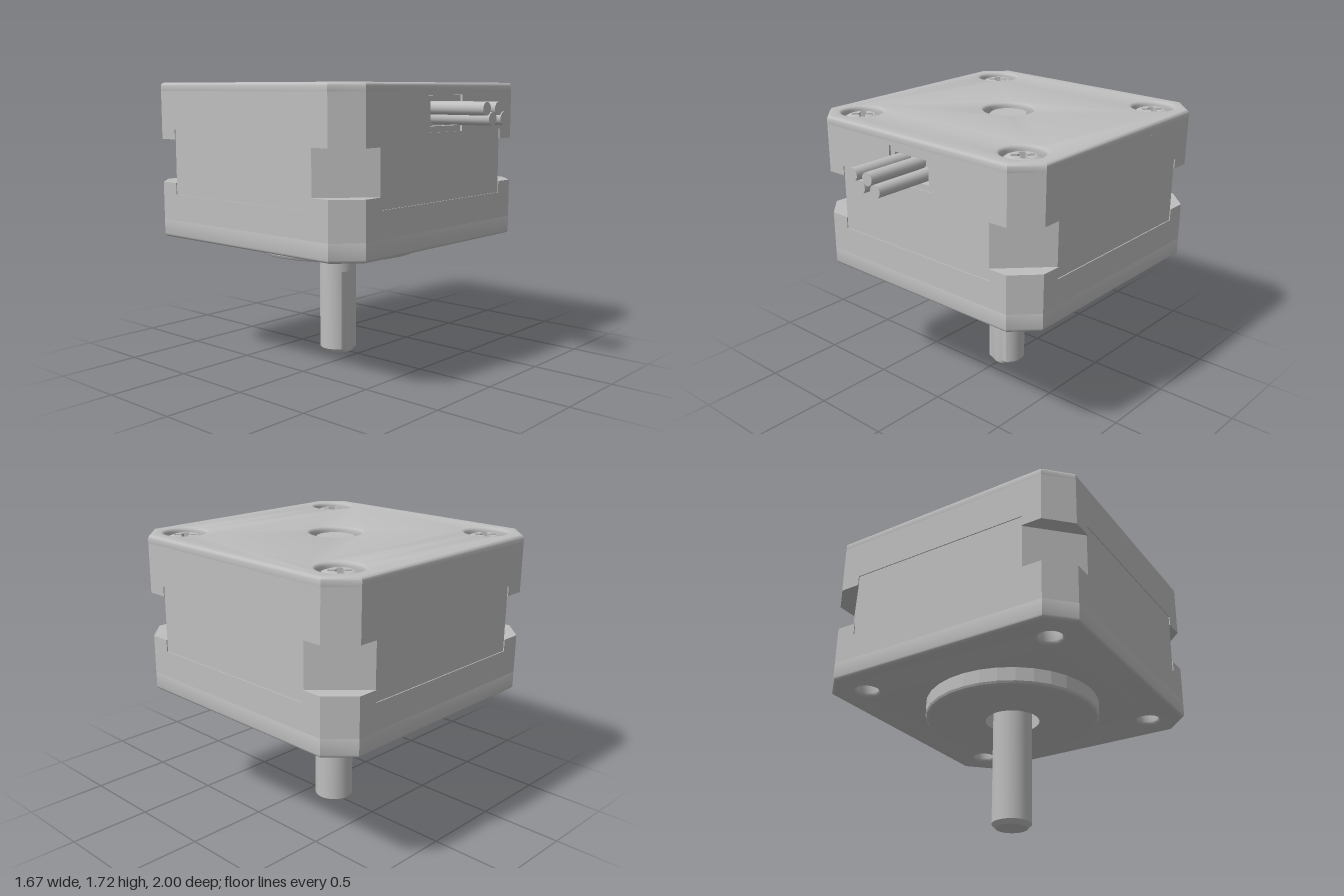
import * as THREE from 'three';
import { toCreasedNormals } from 'three/addons/utils/BufferGeometryUtils.js';

const HALF = 0.833;      // half width of the square body
const BOLT = 0.62;       // bolt offset from the axis
const metal = new THREE.MeshStandardMaterial({ color: 0xbebebe });
metal.name = 'grey metal';

function add(parent, name, geometry) {
  const mesh = new THREE.Mesh(geometry, metal);
  mesh.name = name;
  parent.add(mesh);
  return mesh;
}

const polygon = (pts) => new THREE.Shape(pts.map(([x, y]) => new THREE.Vector2(x, y)));

// Square with cut corners, optionally with a notch in the front edge
function octagon(h, cut, notch) {
  const a = h - cut;
  const pts = [[-a, -h]];
  if (notch) {
    const { w, d } = notch;
    pts.push([-w, -h], [-w, -h + d], [w, -h + d], [w, -h]);
  }
  pts.push([a, -h], [h, -a], [h, a], [a, h], [-a, h], [-h, a], [-h, -a]);
  return polygon(pts);
}

function circleHole(shape, x, y, r) {
  shape.holes.push(new THREE.Path().absarc(x, y, r, 0, Math.PI * 2, true));
}

function boltHoles(shape, r) {
  for (const x of [-BOLT, BOLT]) for (const y of [-BOLT, BOLT]) circleHole(shape, x, y, r);
  return shape;
}

// Horizontal slab between two heights, with rounded rims if bevel > 0
function slab(shape, y0, y1, bevel = 0) {
  const g = new THREE.ExtrudeGeometry(shape, {
    depth: y1 - y0 - 2 * bevel, curveSegments: 16, bevelEnabled: bevel > 0,
    bevelSize: bevel, bevelThickness: bevel, bevelOffset: -bevel, bevelSegments: 3,
  });
  g.rotateX(-Math.PI / 2).translate(0, y0 + bevel, 0);
  return toCreasedNormals(g, 0.6);
}

function lathe(pts, segments = 32) {
  return new THREE.LatheGeometry(pts.map(([x, y]) => new THREE.Vector2(x, y)), segments);
}

function buildBody(motor) {
  const body = new THREE.Group();
  body.name = 'body';
  motor.add(body);

  // Lower end cap with blind bolt holes
  add(body, 'lowerCapRim', slab(boltHoles(octagon(HALF, 0.14), 0.065), 0.77, 0.9, 0.02));
  add(body, 'lowerCap', slab(octagon(HALF, 0.14), 0.88, 1.04));

  // Slightly inset middle with wider corner cuts
  add(body, 'middleCore', slab(octagon(HALF - 0.006, 0.257), 1.04, 1.435));

  // Corner ledges above and below the cut corners
  const a = HALF - 0.14, b = 0.57;
  const ledge = polygon([[b, b], [HALF, b], [HALF, a], [a, HALF], [b, HALF]]);
  for (const [y0, y1] of [[1.04, 1.11], [1.375, 1.435]]) {
    for (let i = 0; i < 4; i++) {
      add(body, 'cornerLedge', slab(ledge, y0, y1)).rotation.y = i * Math.PI / 2;
    }
  }

  // Upper end cap with cable notch, counterbores and shaft opening
  add(body, 'upperCap', slab(octagon(HALF, 0.14, { w: 0.165, d: 0.06 }), 1.435, 1.645));
  const top = () => {
    const s = boltHoles(octagon(HALF, 0.14), 0.122);
    circleHole(s, 0, 0, 0.15);
    return s;
  };
  add(body, 'upperCapFill', slab(top(), 1.645, 1.668));
  add(body, 'upperCapRim', slab(top(), 1.645, 1.715, 0.02));
}

function buildScrews(motor) {
  // Cross recess outline
  const w = 0.017, l = 0.062, c = 0.027;
  const cross = [];
  for (let i = 0; i < 4; i++) {
    const t = i * Math.PI / 2 + Math.PI / 4;
    for (const [x, y] of [[l, -w], [l, w], [c, w], [c * 0.8, c * 0.8], [w, c]]) {
      cross.push(new THREE.Vector2(x * Math.cos(t) - y * Math.sin(t), x * Math.sin(t) + y * Math.cos(t)));
    }
  }
  const disc = new THREE.Shape().absarc(0, 0, 0.0705, 0, Math.PI * 2);
  disc.holes.push(new THREE.Path(cross));
  const crown = slab(disc, 1.645, 1.698);
  const dome = lathe([[0.119, 1.645], [0.119, 1.664], [0.112, 1.675], [0.095, 1.689], [0.07, 1.698]]);
  for (const x of [-BOLT, BOLT]) {
    for (const z of [-BOLT, BOLT]) {
      const screw = new THREE.Group();
      screw.name = 'screw';
      screw.position.set(x, 0, z);
      add(screw, 'screwDome', dome);
      add(screw, 'screwCrown', crown);
      motor.add(screw);
    }
  }
}

function buildShaft(motor) {
  // Round mounting boss with a central opening
  const boss = lathe([[0.163, 0.78], [0.163, 0.67], [0.507, 0.67], [0.519, 0.676], [0.525, 0.688], [0.525, 0.78]]);
  add(motor, 'mountingBoss', toCreasedNormals(boss, 0.15));

  // Shaft with a flat ground into the front of its lower part
  const r = 0.117, step = 0.53;
  const g = lathe([[0, 0], [0.094, 0], [r, 0.025], [r, step - 0.001], [r, step + 0.001],
    [r, 1.682], [r - 0.008, 1.69], [0, 1.69]], 48);
  const p = g.attributes.position;
  for (let i = 0; i < p.count; i++) {
    if (p.getY(i) < step) p.setZ(i, Math.min(p.getZ(i), 0.096));
  }
  add(motor, 'shaft', toCreasedNormals(g, 0.4));
}

function buildCable(motor) {
  // Socket frame set in the notch
  const rect = (x, y0, y1) => [[-x, y0], [x, y0], [x, y1], [-x, y1]];
  const frame = polygon(rect(0.163, 1.435, 1.643));
  frame.holes.push(new THREE.Path(rect(0.13, 1.47, 1.61).map(([x, y]) => new THREE.Vector2(x, y))));
  const socket = new THREE.ExtrudeGeometry(frame, { depth: 0.05, bevelEnabled: false });
  add(motor, 'cableSocket', socket.translate(0, 0, 0.772));

  // Four leads in two staggered rows
  const lead = new THREE.CylinderGeometry(0.037, 0.037, 0.41, 20).rotateX(Math.PI / 2);
  for (const [x, y] of [[-0.088, 1.573], [0.027, 1.573], [-0.03, 1.517], [0.085, 1.517]]) {
    add(motor, 'lead', lead).position.set(x, y, 0.964);
  }
}

export function createModel() {
  const model = new THREE.Group();
  model.name = 'motor';
  const motor = new THREE.Group();
  motor.name = 'motorAssembly';
  motor.position.z = -0.169;
  model.add(motor);
  buildBody(motor);
  buildScrews(motor);
  buildShaft(motor);
  buildCable(motor);
  return model;
}
